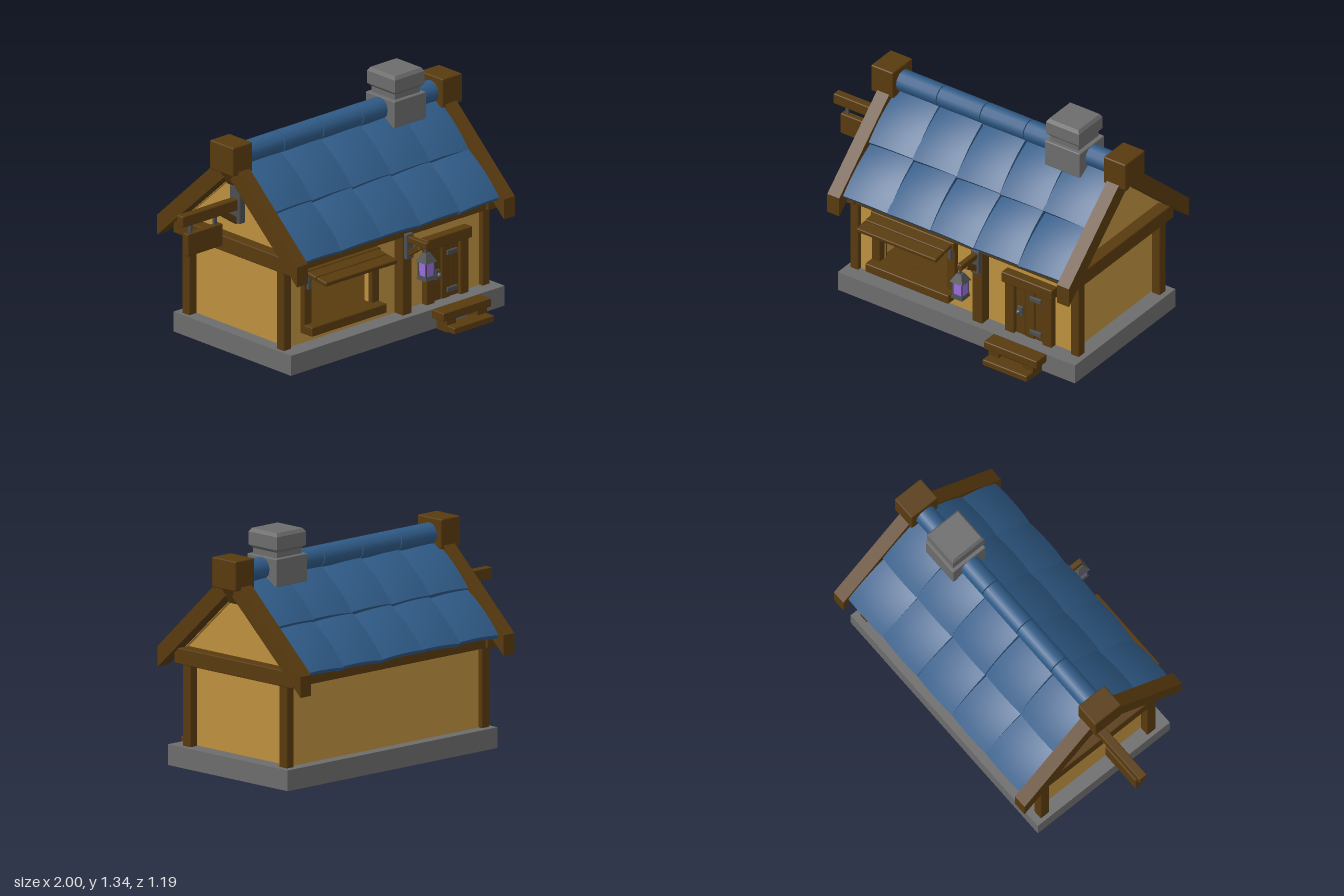
import * as THREE from 'three';
import { RoundedBoxGeometry } from 'three/addons/geometries/RoundedBoxGeometry.js';

const mat = (color, extra = {}) => new THREE.MeshStandardMaterial({ color, ...extra });
const WOOD = mat(0x583a0e), WALL = mat(0xbc903f), ROOF = mat(0x2f5a86);
const STONE = mat(0x6c6c6c), STONE_FLAT = mat(0x6c6c6c, { flatShading: true });
const IRON = mat(0x4c4d50, { flatShading: true }), GLOW = mat(0x9a6ee0, { flatShading: true });

const CX = 0.15, CZ = -0.04; // middle of the house

export function createModel() {
  const root = new THREE.Group();

  const add = (name, geo, material, parent = root) => {
    const m = new THREE.Mesh(geo, material);
    m.name = name;
    parent.add(m);
    return m;
  };
  // box from its minimum and maximum on each axis
  const box = (name, material, x0, x1, y0, y1, z0, z1, parent = root) => {
    const m = add(name, new THREE.BoxGeometry(x1 - x0, y1 - y0, z1 - z0), material, parent);
    m.position.set((x0 + x1) / 2, (y0 + y1) / 2, (z0 + z1) / 2);
    return m;
  };
  // beam with softened edges
  const beam = (name, material, x0, x1, y0, y1, z0, z1, r = 0.006) => {
    const m = add(name, new RoundedBoxGeometry(x1 - x0, y1 - y0, z1 - z0, 1, r), material);
    m.position.set((x0 + x1) / 2, (y0 + y1) / 2, (z0 + z1) / 2);
    return m;
  };
  const shapeOf = pts => new THREE.Shape(pts.map(p => new THREE.Vector2(...p)));
  const extrude = (shape, depth) => new THREE.ExtrudeGeometry(shape, { depth, bevelEnabled: false });
  // profile in (z, y), centred on the ridge, extruded along x and ending at xMax
  const crossPiece = (name, material, pts, depth, xMax) => {
    const m = add(name, extrude(shapeOf(pts), depth), material);
    m.rotation.y = -Math.PI / 2;
    m.position.set(xMax, 0, CZ);
    return m;
  };
  const rect = (x0, x1, y0, y1) => [[x0, y0], [x1, y0], [x1, y1], [x0, y1]];
  let seed = 7;
  const rand = () => (seed = (seed * 16807) % 2147483647) / 2147483647 - 0.5;

  // stone foundation ring and floor
  const ring = shapeOf(rect(-0.635, 0.945, -0.445, 0.485));
  ring.holes.push(new THREE.Path(shapeOf(rect(-0.51, 0.82, -0.32, 0.36)).getPoints()));
  const foundation = add('foundation', extrude(ring, 0.115), STONE);
  foundation.rotation.x = -Math.PI / 2;
  box('floor', WOOD, -0.55, 0.85, 0.07, 0.12, -0.41, 0.33);

  // front wall with window opening, back wall, gable walls
  const front = shapeOf(rect(-0.555, 0.852, 0.11, 0.62));
  front.holes.push(new THREE.Path(shapeOf(rect(-0.41, 0.035, 0.22, 0.49)).getPoints()));
  add('frontWall', extrude(front, 0.03), WALL).position.z = 0.31;
  box('backWall', WALL, -0.555, 0.852, 0.11, 0.62, -0.42, -0.39);
  const gable = [[-0.375, 0.11], [0.375, 0.11], [0.375, 0.6], [0.46, 0.62], [0, 1.05], [-0.46, 0.62], [-0.375, 0.6]];
  for (const xMax of [0.853, -0.526]) crossPiece('gableWall', WALL, gable, 0.03, xMax);

  // corner posts, gable beams and eaves beams
  for (const s of [-1, 1]) {
    const x = CX + s * 0.735;
    for (const z of [0.335, -0.415]) beam('cornerPost', WOOD, x - 0.0275, x + 0.0275, 0.11, 0.6, z - 0.03, z + 0.03);
    beam('gableBeam', WOOD, x - 0.04, x + 0.04, 0.565, 0.655, -0.5, 0.42);
    const ez = CZ + s * 0.4;
    beam('eavesBeam', WOOD, -0.58, 0.88, 0.565, 0.625, ez - 0.045, ez + 0.045);
  }

  // barge boards, ridge end blocks and their brackets
  const chevron = [[0, 1.16], [-0.555, 0.65], [-0.555, 0.535], [0, 1.035], [0.555, 0.535], [0.555, 0.65]];
  for (const s of [-1, 1]) {
    const x = CX + s * 0.765;
    crossPiece('bargeBoard', WOOD, chevron, 0.08, x + 0.04);
    const bx = CX + s * 0.775;
    beam('ridgeEndBlock', WOOD, bx - 0.073, bx + 0.073, 1.055, 1.222, CZ - 0.0925, CZ + 0.0925, 0.008);
    const pts = [[0.70, 1.07], [0.70, 0.965], [0.77, 0.965], [0.825, 1.05], [0.825, 1.07]];
    const bracket = shapeOf(pts.map(([px, py]) => [CX + s * px, py]));
    add('ridgeBracket', extrude(bracket, 0.07), WOOD).position.z = CZ - 0.035;
  }

  // roof: plaster deck with two rows of bowed, slightly twisted tiles on each slope
  const tileGeo = new THREE.BoxGeometry(0.292, 0.028, 0.365, 8, 1, 8);
  const tp = tileGeo.attributes.position;
  for (let i = 0; i < tp.count; i++) {
    const u = tp.getX(i) / 0.146, v = tp.getZ(i) / 0.1825;
    tp.setY(i, tp.getY(i) + 0.018 * (1 - v * v) + 0.01 * (1 - u * u) - 0.006 * u * v);
  }
  tileGeo.computeVertexNormals();
  for (const turn of [0, Math.PI]) {
    const side = new THREE.Group();
    side.name = 'roofSide';
    side.position.set(CX, 1.105, CZ);
    side.rotation.y = turn;
    const slope = new THREE.Group();
    slope.rotation.x = Math.atan(0.9);
    side.add(slope);
    root.add(side);
    box('roofDeck', WALL, -0.725, 0.725, -0.055, -0.035, 0.03, 0.62, slope);
    for (let row = 0; row < 2; row++) for (let c = 0; c < 5; c++) {
      const tile = add('roofTile', tileGeo, ROOF, slope);
      tile.position.set((c - 2) * 0.29, -0.014 - 0.006 * row, 0.185 + row * 0.325);
      tile.rotation.set(-0.06 + rand() * 0.03, rand() * 0.06, 0.03 + rand() * 0.09);
    }
  }
  // ridge caps
  for (let c = 0; c < 5; c++) {
    const cap = add('ridgeCap', new THREE.CylinderGeometry(0.062, 0.062, 0.284, 12), ROOF);
    cap.rotation.z = Math.PI / 2;
    cap.position.set(CX + (c - 2) * 0.29, 1.131, CZ);
  }

  // chimney
  beam('chimneyBase', STONE, 0.475, 0.71, 1.04, 1.195, -0.155, 0.075, 0.006);
  const half = [[0, 1.18], [0.093, 1.18], [0.093, 1.225], [0.11, 1.243], [0.11, 1.315], [0.098, 1.335], [0, 1.335]];
  const stack = new THREE.LatheGeometry(half.map(([r, y]) => new THREE.Vector2(r * Math.SQRT2, y)), 4);
  const cap = add('chimneyCap', stack, STONE_FLAT);
  cap.rotation.y = Math.PI / 4;
  cap.position.set(0.592, 0, CZ);

  // serving window: frame, counter, awning and shelves inside
  for (const x of [-0.4375, 0.0625]) {
    beam('windowJamb', WOOD, x - 0.0275, x + 0.0275, 0.2, 0.52, 0.3, 0.37);
    beam('awningStay', IRON, x - 0.012, x + 0.012, 0.43, 0.5, 0.36, 0.385, 0.003);
  }
  beam('windowLintel', WOOD, -0.465, 0.09, 0.485, 0.54, 0.3, 0.38);
  beam('windowCounter', WOOD, -0.465, 0.09, 0.175, 0.228, 0.3, 0.43);
  for (let i = 0; i < 2; i++) {
    const board = beam('awningBoard', WOOD, -0.452, 0.077, 0.505, 0.53, 0.365 + i * 0.083, 0.445 + i * 0.083);
    board.position.y -= i * 0.012;
    board.rotation.x = 0.14;
  }
  for (const y of [0.25, 0.335, 0.42, 0.49]) box('wallSlat', WOOD, -0.43, 0.06, y - 0.022, y + 0.022, -0.39, -0.37);
  for (const x of [-0.41, -0.13, -0.08, 0.04]) box('slatUpright', WOOD, x - 0.023, x + 0.023, 0.11, 0.52, -0.39, -0.36);

  // door with frame, planks, hinges and handle
  for (const x of [0.46, 0.71]) beam('doorJamb', WOOD, x - 0.03, x + 0.03, 0.11, 0.44, 0.32, 0.38);
  beam('doorLintel', WOOD, 0.418, 0.753, 0.43, 0.495, 0.32, 0.395);
  for (let i = 0; i < 3; i++) {
    const x = 0.492 + i * 0.064;
    beam('doorPlank', WOOD, x, x + 0.06, 0.115, 0.43, 0.33, 0.36 + (i % 2) * 0.005, 0.004);
  }
  for (const y of [0.16, 0.375]) beam('doorHinge', IRON, 0.59, 0.665, y - 0.014, y + 0.014, 0.36, 0.375, 0.003);
  beam('handlePlate', IRON, 0.505, 0.54, 0.235, 0.295, 0.355, 0.37, 0.003);
  add('doorHandle', new THREE.SphereGeometry(0.016, 8, 6), IRON).position.set(0.523, 0.265, 0.38);

  // steps
  beam('upperStep', WOOD, 0.405, 0.757, 0.067, 0.117, 0.445, 0.54);
  beam('lowerStep', WOOD, 0.435, 0.73, 0.002, 0.04, 0.5, 0.595);
  for (const x of [0.468, 0.697]) box('stepSupport', WOOD, x - 0.033, x + 0.033, 0, 0.08, 0.45, 0.535);

  // lantern post, arm, brace and square lantern
  beam('lanternPost', WOOD, 0.23, 0.297, 0.11, 0.585, 0.33, 0.405);
  beam('lanternPlate', IRON, 0.237, 0.29, 0.44, 0.585, 0.4, 0.428, 0.005);
  beam('lanternArm', WOOD, 0.247, 0.279, 0.535, 0.572, 0.42, 0.57);
  const brace = beam('lanternBrace', WOOD, 0.25, 0.276, 0.485, 0.52, 0.41, 0.515, 0.004);
  brace.rotation.x = -0.6;
  const lantern = new THREE.Group();
  lantern.name = 'lantern';
  lantern.position.set(0.262, 0, 0.556);
  root.add(lantern);
  // square tier given by its half widths
  const tier = (name, top, bottom, y0, y1, material) => {
    const geo = new THREE.CylinderGeometry(top * Math.SQRT2, bottom * Math.SQRT2, y1 - y0, 4);
    const m = add(name, geo, material, lantern);
    m.rotation.y = Math.PI / 4;
    m.position.y = (y0 + y1) / 2;
  };
  tier('lanternFoot', 0.034, 0.038, 0.36, 0.383, IRON);
  tier('lanternGlass', 0.03, 0.026, 0.383, 0.463, GLOW);
  tier('lanternRoof', 0.016, 0.042, 0.463, 0.512, IRON);
  tier('lanternHook', 0.007, 0.007, 0.512, 0.54, IRON);
  for (const sx of [-1, 1]) for (const sz of [-1, 1]) {
    const bar = add('lanternBar', new THREE.BoxGeometry(0.007, 0.084, 0.007), IRON, lantern);
    bar.position.set(sx * 0.03, 0.423, sz * 0.03);
  }

  // hanging sign on the right gable
  beam('signArm', WOOD, -1, -0.55, 0.817, 0.882, -0.07, -0.02);
  beam('signPlate', IRON, -0.595, -0.55, 0.74, 0.95, -0.085, -0.005, 0.005);
  const signBrace = beam('signBrace', WOOD, -0.71, -0.57, 0.77, 0.805, -0.062, -0.028, 0.005);
  signBrace.rotation.z = -0.6;
  beam('signBoard', WOOD, -0.957, -0.7, 0.64, 0.768, -0.065, -0.025);
  for (const x of [-0.922, -0.742]) box('signHanger', IRON, x - 0.008, x + 0.008, 0.76, 0.825, -0.053, -0.037);

  return root;
}
